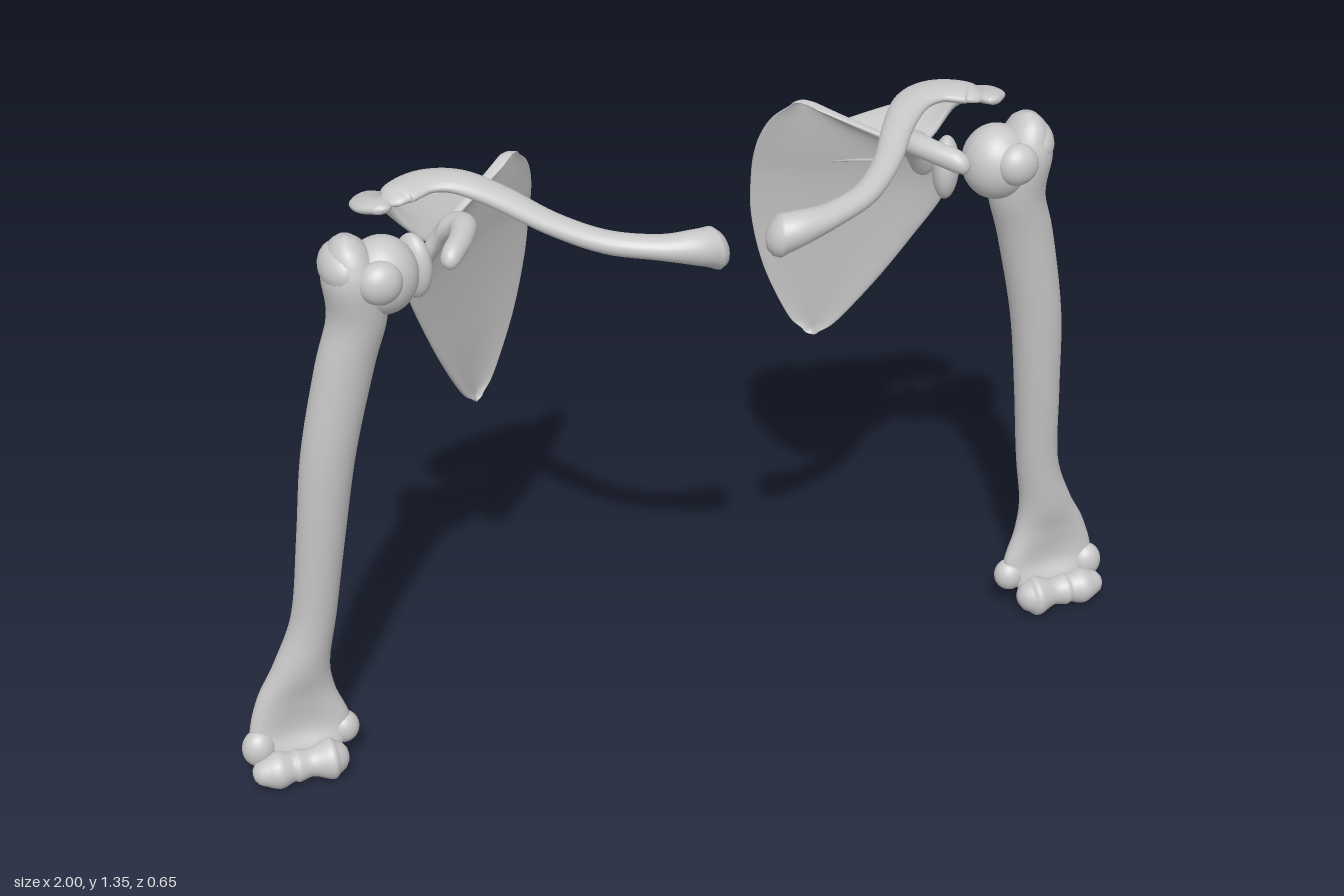
import * as THREE from 'three';

const bone = new THREE.MeshStandardMaterial({ color: 0xc8c8c8 });
bone.name = 'bone grey';

const V = (x, y, z) => new THREE.Vector3(x, y, z);
const round = (c, s, k) => [c, s * (1 - k * s ** 4)];

// Skin over sections [edge p, edge q, half thickness, waist]; every section is an oval from p to q.
function loft(rows, { steps = 6, sides = 24, ring = round } = {}) {
  const curve = pts => new THREE.CatmullRomCurve3(pts, false, 'catmullrom', 0.5);
  const P = curve(rows.map(r => r[0])), Q = curve(rows.map(r => r[1]));
  const S = curve(rows.map(r => V(r[2], r[3] || 0, 0)));
  const mid = u => P.getPoint(u).add(Q.getPoint(u)).multiplyScalar(0.5);
  const pos = [], idx = [], n = (rows.length - 1) * steps;
  const addRing = (u, scale, push) => {
    const T = mid(Math.min(1, u + 0.01)).sub(mid(Math.max(0, u - 0.01))).normalize();
    const A = Q.getPoint(u).sub(P.getPoint(u)).multiplyScalar(0.5);
    const s = S.getPoint(u);
    const B = T.clone().cross(A).normalize().multiplyScalar(s.x);
    const c = mid(u).addScaledVector(T, push * s.x);
    for (let j = 0; j < sides; j++) {
      const a = j / sides * Math.PI * 2;
      const [f, g] = ring(Math.cos(a), Math.sin(a), s.y);
      pos.push(...c.clone().addScaledVector(A, f * scale).addScaledVector(B, g * scale).toArray());
    }
  };
  // domed start, body, domed end
  const dome = [[0.001, 0.7], [0.45, 0.6], [0.8, 0.35]];
  dome.forEach(([s, d]) => addRing(0, s, -d));
  for (let i = 0; i <= n; i++) addRing(i / n, 1, 0);
  dome.reverse().forEach(([s, d]) => addRing(1, s, d));
  for (let i = 0; i < n + 6; i++) for (let j = 0; j < sides; j++) {
    const a = i * sides + j, b = i * sides + (j + 1) % sides;
    idx.push(a, b, b + sides, a, b + sides, a + sides);
  }
  const g = new THREE.BufferGeometry();
  g.setAttribute('position', new THREE.Float32BufferAttribute(pos, 3));
  g.setIndex(idx);
  return g;
}

// Rounded lump
function blob(x, y, z, rx, ry, rz, turn = 0) {
  return new THREE.SphereGeometry(1, 28, 20).scale(rx, ry, rz).rotateY(turn).translate(x, y, z);
}

// Rod along a path of [x, y, z, half height, half width]
const rod = list => loft(list.map(([x, y, z, h, w]) => [V(x, y - h, z), V(x, y + h, z), w]));

// Mirror to one side and make the faces point outwards
function place(g, side) {
  g.scale(side, 1, 1);
  const p = g.attributes.position, ix = g.index.array;
  const a = V(), b = V(), c = V();
  let volume = 0;
  for (let i = 0; i < ix.length; i += 3) {
    a.fromBufferAttribute(p, ix[i]);
    b.fromBufferAttribute(p, ix[i + 1]);
    c.fromBufferAttribute(p, ix[i + 2]);
    volume += a.dot(b.cross(c));
  }
  if (volume < 0) for (let i = 0; i < ix.length; i += 3) [ix[i], ix[i + 1]] = [ix[i + 1], ix[i]];
  g.computeVertexNormals();
  return g;
}

// Upper arm bone
function humerus() {
  const shaft = [
    [1.25, 0.72, 0.02, 0.042, 0.055], [1.2, 0.715, 0.02, 0.06, 0.068],
    [1.11, 0.708, 0.015, 0.06, 0.062], [1.0, 0.737, 0.01, 0.06, 0.054],
    [0.8, 0.779, -0.002, 0.056, 0.052], [0.6, 0.802, -0.018, 0.05, 0.048],
    [0.4, 0.824, -0.037, 0.047, 0.044], [0.28, 0.855, -0.046, 0.06, 0.042],
    [0.2, 0.872, -0.05, 0.084, 0.038, 0.25], [0.12, 0.87, -0.044, 0.108, 0.036, 0.6],
    [0.07, 0.87, -0.025, 0.09, 0.026, 0.4],
  ];
  // spool-shaped elbow joint, turned about x
  const spool = [[0.805, 0.036], [0.822, 0.046], [0.862, 0.031], [0.892, 0.036],
    [0.905, 0.033], [0.935, 0.041], [0.968, 0.028]];
  return {
    shaft: loft(shaft.map(([y, x, z, rx, rz, k]) => [V(x - rx, y, z), V(x + rx, y, z), rz, k])),
    head: blob(0.655, 1.19, 0.02, 0.072, 0.08, 0.072),
    greaterTubercle: blob(0.733, 1.222, 0.015, 0.045, 0.05, 0.065),
    lesserTubercle: blob(0.675, 1.205, 0.077, 0.045, 0.045, 0.036),
    elbowSpool: loft(spool.map(([x, r]) => [V(x, 0.052 - r, 0), V(x, 0.052 + r, 0), r])),
    innerEpicondyle: blob(0.777, 0.092, -0.045, 0.034, 0.036, 0.032),
    outerEpicondyle: blob(0.962, 0.092, -0.035, 0.036, 0.042, 0.032),
  };
}

// Shoulder blade
function scapula() {
  const sheet = (x, y) => -0.3 + 0.72 * (x - 0.27) + (y < 1.05 ? 0.16 : 0.3) * (y - 1.05);
  const rows = [[0.685, 0.365, 0.395], [0.72, 0.335, 0.425], [0.84, 0.285, 0.485], [0.97, 0.255, 0.54],
    [1.08, 0.247, 0.58], [1.15, 0.247, 0.58], [1.2, 0.255, 0.51], [1.24, 0.27, 0.42], [1.272, 0.295, 0.345]];
  // bowed sheet with a thick outer border
  const bladeRing = (c, s) => [c, s * (0.4 + 1.1 * Math.max(0, c) ** 3) + 0.9 * s * s];
  // crest edge, root edge, half thickness: ridge that turns into the flat shoulder tip
  const ridge = [
    [0.27, 1.1, -0.315, 0.275, 1.09, -0.295, 0.01], [0.38, 1.165, -0.285, 0.39, 1.13, -0.2, 0.012],
    [0.5, 1.225, -0.225, 0.5, 1.16, -0.11, 0.013], [0.58, 1.26, -0.175, 0.56, 1.21, -0.09, 0.014],
    [0.64, 1.285, -0.14, 0.6, 1.275, -0.085, 0.014], [0.685, 1.302, -0.08, 0.625, 1.31, -0.05, 0.014],
    [0.69, 1.315, -0.025, 0.615, 1.325, -0.01, 0.014], [0.665, 1.325, 0.012, 0.63, 1.328, 0.015, 0.01],
  ];
  return {
    blade: loft(rows.map(([y, a, b]) => [V(a, y, sheet(a, y)), V(b, y, sheet(b, y)), 0.017]),
      { sides: 40, ring: bladeRing }),
    spineAndAcromion: loft(ridge.map(r => [V(r[0], r[1], r[2]), V(r[3], r[4], r[5]), r[6]])),
    socket: blob(0.573, 1.16, -0.045, 0.028, 0.07, 0.045, -0.5),
    coracoid: rod([[0.53, 1.17, -0.075, 0.035, 0.03], [0.5, 1.225, -0.05, 0.032, 0.034],
      [0.482, 1.25, -0.005, 0.025, 0.028], [0.5, 1.252, 0.045, 0.023, 0.024],
      [0.53, 1.245, 0.085, 0.024, 0.022], [0.543, 1.24, 0.1, 0.02, 0.018]]),
  };
}

// Collar bone
function clavicle() {
  return {
    collarShaft: rod([[0.068, 1.262, 0.275, 0.044, 0.042], [0.11, 1.275, 0.283, 0.035, 0.036],
      [0.18, 1.283, 0.27, 0.024, 0.029], [0.27, 1.29, 0.225, 0.022, 0.027],
      [0.35, 1.305, 0.145, 0.02, 0.028], [0.42, 1.325, 0.045, 0.02, 0.032],
      [0.48, 1.338, -0.02, 0.018, 0.038], [0.54, 1.341, -0.04, 0.016, 0.042],
      [0.595, 1.336, -0.025, 0.016, 0.042], [0.615, 1.332, -0.012, 0.012, 0.03]]),
  };
}

export function createModel() {
  const model = new THREE.Group();
  model.name = 'shoulderBones';
  for (const [label, side] of [['left', 1], ['right', -1]]) {
    for (const [name, make] of [['Humerus', humerus], ['Scapula', scapula], ['Clavicle', clavicle]]) {
      const group = new THREE.Group();
      group.name = label + name;
      for (const [part, geometry] of Object.entries(make())) {
        const mesh = new THREE.Mesh(place(geometry, side), bone);
        mesh.name = part;
        group.add(mesh);
      }
      model.add(group);
    }
  }
  return model;
}
